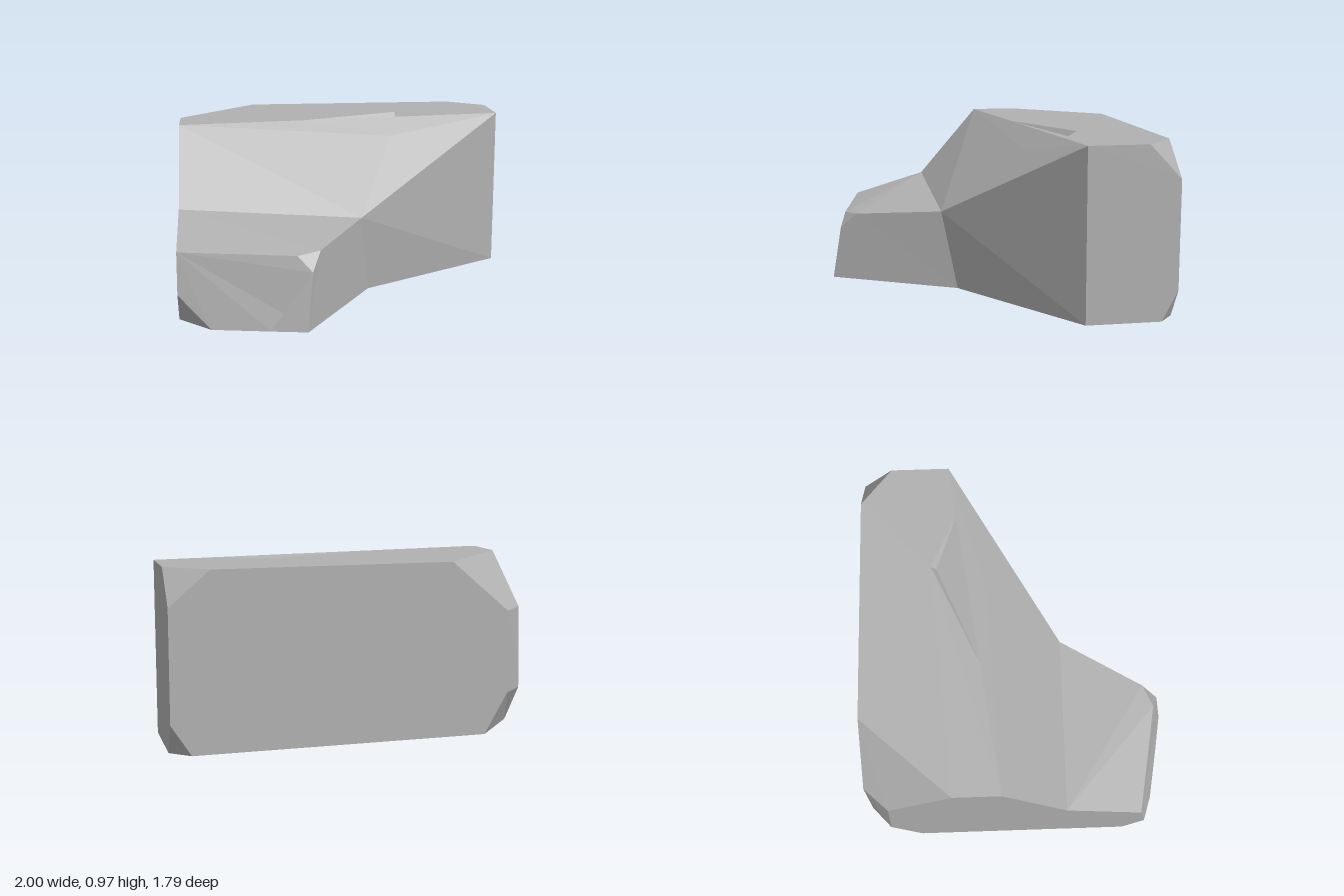
import * as THREE from 'three';

// Corner points of the boulder, named by region.
const P = {
  // upper plateau rim
  rimRight: [-1, 0.97, -0.12], rimA: [-0.24, 0.97, -0.22], rimB: [0.68, 0.97, -0.34], rimLeft: [1, 0.97, -0.38],
  topL: [1, 0.97, -0.72], topBL: [0.78, 0.97, -0.9], topBR: [-0.54, 0.97, -0.9], topR: [-1, 0.97, -0.39],
  // chip broken out of the rim
  chipTop: [0.36, 0.97, -0.49], chipIn: [0.36, 0.935, -0.46], chipLow: [0.29, 0.87, -0.18],
  // back corners
  backLU: [1, 0.78, -0.9], backLD: [1, 0.17, -0.9],
  cutUB: [-0.87, 0.69, -0.9], cutUS: [-1, 0.69, -0.76], cutDB: [-0.88, 0.23, -0.9], cutDS: [-1, 0.23, -0.79],
  // front ledge
  shelfR: [-1, 0.54, 0.25], shelfL: [0.06, 0.465, 0.26], noseL: [-0.22, 0.415, 0.75],
  noseTop: [-0.35, 0.405, 0.81], noseR: [-1, 0.41, 0.69], noseTip: [-0.27, 0.32, 0.845],
  noseCut: [-1, 0.18, 0.73], sliver: [-0.33, 0.04, 0.875],
  // ground outline
  g0: [0.11, 0, 0.17], g1: [-0.3, 0, 0.895], g2: [-0.5, 0, 0.86], g3: [-0.82, 0, 0.8], g4: [-1, 0, 0.61],
  g5: [-1, 0, -0.62], g6: [-0.75, 0, -0.9], g7: [0.89, 0, -0.9], g8: [1, 0, -0.81], g9: [1, 0, -0.385],
};

// Flat facets, counter-clockwise from outside; each fans from its first corner.
const PARTS = {
  plateau: ['chipTop rimB rimLeft topL topBL topBR topR rimRight rimA'],
  rimChip: ['rimA chipLow rimB chipIn', 'rimA chipIn chipTop', 'chipIn rimB chipTop'],
  frontSlope: ['rimRight shelfR shelfL', 'rimRight shelfL chipLow rimA', 'chipLow shelfL rimLeft rimB'],
  ledgeTop: ['shelfR noseL shelfL', 'shelfR noseR noseTop noseL'],
  ledgeFront: ['noseR noseCut g3 g2 sliver noseTip noseTop', 'noseCut g4 g3',
    'noseTip sliver g2 g1', 'noseTop noseTip noseL'],
  leftFlank: ['noseL noseTip g1 g0 shelfL', 'shelfL g0 g9 rimLeft'],
  leftSide: ['rimLeft g9 g8 backLD backLU topL'],
  rightSide: ['shelfR rimRight topR cutUS cutDS g5 g4 noseCut noseR'],
  backFace: ['topBL backLU backLD g7 g6 cutDB cutUB topBR'],
  backCorners: ['topBR cutUB cutUS topR', 'cutUB cutDB cutDS cutUS', 'cutDB g6 g5 cutDS',
    'topBL topL backLU', 'g7 backLD g8'],
  underside: ['g0 g1 g2 g3 g4 g5 g6 g7 g8 g9'],
};

function facetGeometry(facets) {
  const pos = [];
  for (const facet of facets) {
    const c = facet.split(' ').map((name) => P[name]);
    for (let i = 1; i < c.length - 1; i++) pos.push(...c[0], ...c[i], ...c[i + 1]);
  }
  const geo = new THREE.BufferGeometry();
  geo.setAttribute('position', new THREE.Float32BufferAttribute(pos, 3));
  geo.computeVertexNormals(); // unshared corners keep every facet flat
  return geo;
}

export function createModel() {
  const stone = new THREE.MeshStandardMaterial({ color: 0xb0b0b0 });
  stone.name = 'stone grey';
  const boulder = new THREE.Group();
  boulder.name = 'boulder';
  for (const [name, facets] of Object.entries(PARTS)) {
    const mesh = new THREE.Mesh(facetGeometry(facets), stone);
    mesh.name = name;
    boulder.add(mesh);
  }
  return boulder;
}
